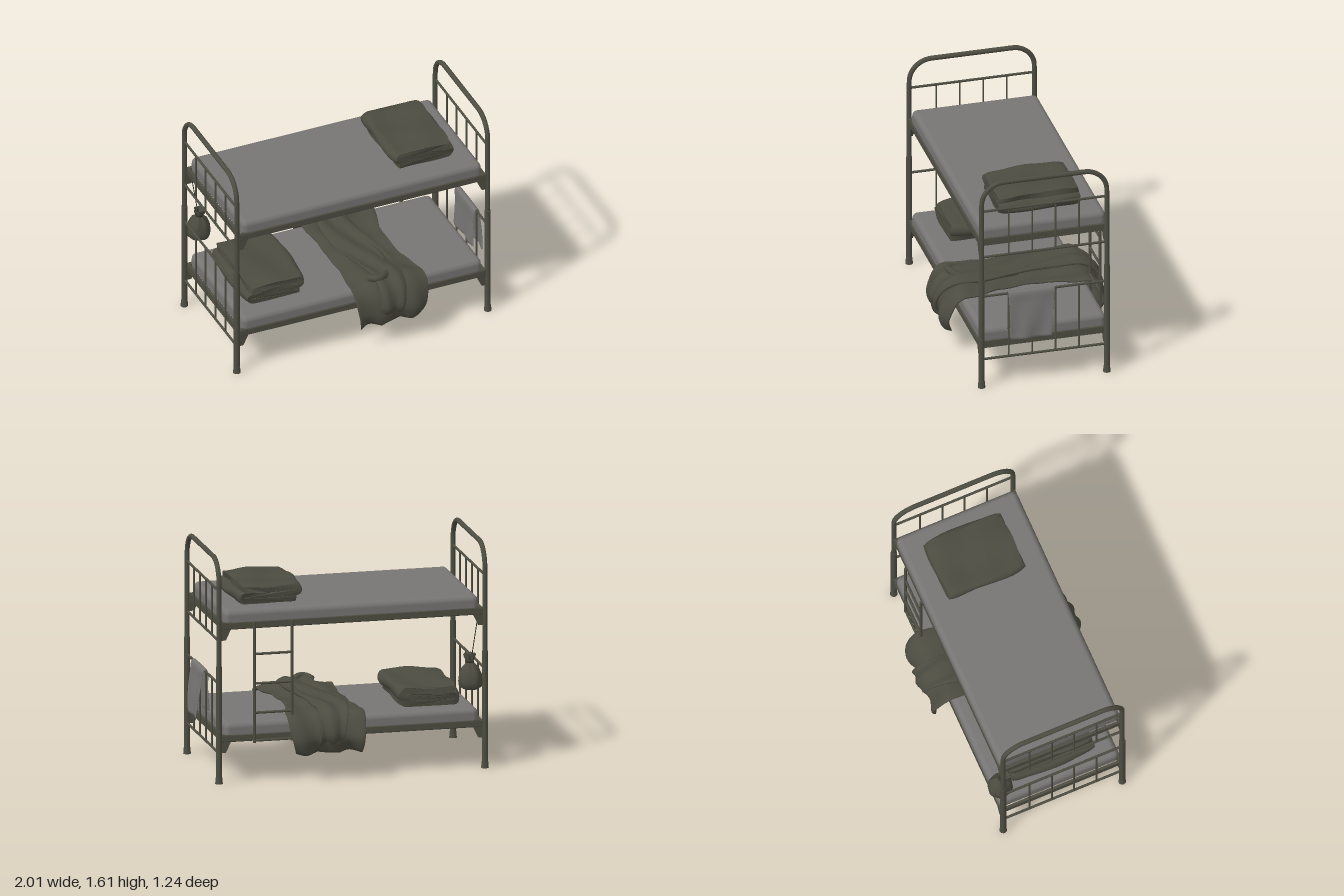
import * as THREE from 'three';
import { RoundedBoxGeometry } from 'three/addons/geometries/RoundedBoxGeometry.js';
import { ParametricGeometry } from 'three/addons/geometries/ParametricGeometry.js';
import { toCreasedNormals } from 'three/addons/utils/BufferGeometryUtils.js';

const V = (x, y, z) => new THREE.Vector3(x, y, z);
const ZC = 0.005, ZP = 0.453; // bed centre and post offset in z
const XL = -0.975, XR = 0.94; // the two end frames

function material(name, color, side = THREE.FrontSide) {
  const m = new THREE.MeshStandardMaterial({ color, side });
  m.name = name;
  return m;
}

function add(parent, name, geometry, mat, x = 0, y = 0, z = 0) {
  const mesh = new THREE.Mesh(geometry, mat);
  mesh.name = name;
  mesh.position.set(x, y, z);
  parent.add(mesh);
  return mesh;
}

// Straight round bar between two points
function bar(parent, name, a, b, r, mat, sides = 10) {
  const d = b.clone().sub(a);
  const mesh = add(parent, name, new THREE.CylinderGeometry(r, r, d.length(), sides), mat);
  mesh.position.copy(a).add(b).multiplyScalar(0.5);
  mesh.quaternion.setFromUnitVectors(V(0, 1, 0), d.normalize());
  return mesh;
}

// Thick cloth strip swept along a path; span(v) gives [centre, half width] along the axis
function cloth(points, axis, span, thick, wrinkle, slices = 60) {
  const path = new THREE.CatmullRomCurve3(points, false, 'centripetal');
  return new ParametricGeometry((u, v, target) => {
    const a = u * Math.PI * 2, c = Math.cos(a), s = Math.sin(a);
    const p = path.getPointAt(v), n = path.getTangentAt(v).cross(axis).normalize();
    const [mid, half] = span(v);
    const across = Math.sign(c) * Math.sqrt(Math.abs(c));
    const cap = Math.min(1, Math.sqrt(Math.max(0, Math.min(v, 1 - v)) * 40));
    const off = thick * Math.sign(s) * Math.sqrt(Math.abs(s)) * cap + wrinkle(across, v);
    target.copy(p).addScaledVector(axis, mid + half * across).addScaledVector(n, off);
  }, 56, slices);
}

// Blanket folded into layers: a thick serpentine profile extruded across the bed
function foldedBlanket(width, height, depth, layers) {
  const pitch = height / layers, t = pitch * 0.47, r = pitch / 2, L = width / 2 - pitch;
  const line = [];
  for (let i = 0; i < layers; i++) {
    const dir = i % 2 ? -1 : 1, y = pitch * (i + 0.5);
    for (let k = 0; k <= 14; k++) line.push([dir * L * (k / 7 - 1), y]);
    if (i < layers - 1) for (let k = 1; k < 8; k++) {
      const a = (k / 8) * Math.PI;
      line.push([dir * (L + r * Math.sin(a)), y + r * (1 - Math.cos(a))]);
    }
  }
  const side = sign => line.map((p, i) => {
    const a = line[Math.max(0, i - 1)], b = line[Math.min(line.length - 1, i + 1)];
    const dx = b[0] - a[0], dy = b[1] - a[1], l = Math.hypot(dx, dy);
    return new THREE.Vector2(p[0] - sign * t * dy / l, p[1] + sign * t * dx / l);
  });
  const shape = new THREE.Shape([...side(-1), ...side(1).reverse()]);
  const geo = new THREE.ExtrudeGeometry(shape, { depth, steps: 18, bevelEnabled: false });
  geo.translate(0, 0, -depth / 2);
  const pos = geo.attributes.position;
  for (let i = 0; i < pos.count; i++) {
    const x = pos.getX(i), y = pos.getY(i), z = pos.getZ(i), h = y / height;
    const edge = Math.pow(Math.abs(2 * z / depth), 8);
    pos.setY(i, y + h * (0.007 * Math.sin(x * 17 + z * 5) + 0.004 * Math.sin(z * 21 - x * 6) - 0.012 * edge));
    pos.setX(i, x + 0.007 * Math.sin(z * 13 + y * 40) - 0.02 * edge * Math.sign(x) * Math.abs(2 * x / width));
    pos.setZ(i, z + 0.006 * Math.sin(x * 15 + y * 60) * (2 * z / depth));
  }
  return toCreasedNormals(geo, 0.9);
}

export function createModel() {
  const metal = material('olive painted metal', 0x4d4d42);
  const grey = material('grey mattress', 0x777573);
  const olive = material('olive blanket', 0x4b4b40, THREE.DoubleSide);
  const towelMat = material('grey towel', 0x777573, THREE.DoubleSide);
  const cord = material('dark cord', 0x25251f);
  const model = new THREE.Group();
  model.name = 'bunkBed';

  // End frames: bent hoop, thicker lower legs, feet and guard bars
  for (const x of [XL, XR]) {
    const end = new THREE.Group();
    end.name = x < 0 ? 'rightEndFrame' : 'leftEndFrame';
    end.position.z = ZC;
    model.add(end);
    const top = 1.597, r = 0.16, k = r * 0.45;
    const hoop = new THREE.CurvePath();
    hoop.add(new THREE.LineCurve3(V(x, 0.03, ZP), V(x, top - r, ZP)));
    hoop.add(new THREE.CubicBezierCurve3(V(x, top - r, ZP), V(x, top - k, ZP), V(x, top, ZP - k), V(x, top, ZP - r)));
    hoop.add(new THREE.LineCurve3(V(x, top, ZP - r), V(x, top, r - ZP)));
    hoop.add(new THREE.CubicBezierCurve3(V(x, top, r - ZP), V(x, top, k - ZP), V(x, top - k, -ZP), V(x, top - r, -ZP)));
    hoop.add(new THREE.LineCurve3(V(x, top - r, -ZP), V(x, 0.03, -ZP)));
    add(end, 'hoop', new THREE.TubeGeometry(hoop, 140, 0.0175, 12), metal);
    for (const z of [-ZP, ZP]) {
      bar(end, 'lowerLeg', V(x, 0.02, z), V(x, 0.84, z), 0.0215, metal, 14);
      add(end, 'foot', new THREE.CylinderGeometry(0.023, 0.027, 0.045, 14), metal, x, 0.0225, z);
    }
    for (const [y0, y1] of [[0.22, 0.715], [1.025, 1.385]]) {
      for (const y of [y0, y1]) bar(end, 'crossBar', V(x, y, -ZP), V(x, y, ZP), 0.009, metal);
      for (const z of [-0.253, -0.083, 0.087, 0.257]) bar(end, 'guardBar', V(x, y0, z), V(x, y1, z), 0.007, metal);
    }
  }

  // Two bunks: rails, corner brackets and mattress
  for (const [name, y] of [['lowerBunk', 0.295], ['upperBunk', 1.103]]) {
    const bunk = new THREE.Group();
    bunk.name = name;
    bunk.position.set(-0.0175, y, ZC);
    model.add(bunk);
    for (const s of [-1, 1]) {
      add(bunk, 'sideRail', new RoundedBoxGeometry(1.89, 0.052, 0.024, 2, 0.008), metal, 0, 0.026, s * 0.452);
      add(bunk, 'endRail', new THREE.BoxGeometry(0.02, 0.05, 0.9), metal, s * 0.93, 0.026, 0);
      for (const t of [-1, 1]) {
        const plate = new THREE.Shape([[0.945, 0.052], [0.87, 0.052], [0.875, 0], [0.91, -0.075], [0.945, -0.075]]
          .map(([px, py]) => new THREE.Vector2(s * px, py)));
        const geo = new THREE.ExtrudeGeometry(plate, { depth: 0.024, bevelEnabled: false });
        add(bunk, 'cornerBracket', geo, metal, 0, 0, t * 0.45 - 0.012);
      }
    }
    const mattress = new RoundedBoxGeometry(1.83, 0.128, 0.912, 5, 0.04);
    add(bunk, 'mattress', mattress, grey, 0.003, 0.074, -0.003);
  }

  // Ladder hung on the back
  const ladder = new THREE.Group();
  ladder.name = 'ladder';
  model.add(ladder);
  for (const x of [0.42, 0.69]) bar(ladder, 'ladderRail', V(x, 0.285, -0.468), V(x, 1.15, -0.468), 0.011, metal);
  for (const y of [0.3, 0.5, 0.71, 0.922]) bar(ladder, 'rung', V(0.42, y, -0.468), V(0.69, y, -0.468), 0.009, metal);

  // Folded blankets on both bunks
  const upper = add(model, 'upperFoldedBlanket', foldedBlanket(0.49, 0.13, 0.58, 3), olive, 0.537, 1.24, -0.012);
  upper.rotation.y = 0.01;
  const lower = add(model, 'lowerFoldedBlanket', foldedBlanket(0.48, 0.145, 0.62, 3), olive, -0.61, 0.43, 0);
  lower.scale.x = -1;

  // Blanket thrown across the lower bunk, with a crumpled fold on top
  const xAxis = V(1, 0, 0);
  const drape = [[0.54, 0.17], [0.57, 0.27], [0.535, 0.39], [0.46, 0.452], [0.3, 0.455], [0, 0.455],
    [-0.3, 0.455], [-0.46, 0.455], [-0.53, 0.4], [-0.575, 0.3], [-0.54, 0.2]].map(([z, y]) => V(0, y, z));
  const hang = v => Math.pow(Math.abs(2 * v - 1), 4);
  add(model, 'thrownBlanket', cloth(drape, xAxis,
    v => [0.165 + 0.015 * Math.sin(v * 9), 0.235 + 0.045 * Math.sin(Math.PI * Math.min(1, 2.6 * Math.min(v, 1 - v)))],
    0.013, (a, v) => (0.008 + 0.016 * hang(v)) * Math.sin(a * 7 + v * 6) + 0.004 * Math.sin(v * 40 + a * 3), 70), olive);
  const fold = [[0.555, 0.25], [0.595, 0.32], [0.555, 0.43], [0.46, 0.49], [0.25, 0.487], [0, 0.483],
    [-0.25, 0.487], [-0.46, 0.49], [-0.56, 0.43], [-0.6, 0.33], [-0.57, 0.26]].map(([z, y]) => V(0, y, z));
  add(model, 'blanketFold', cloth(fold, xAxis,
    v => [0.145 + 0.04 * Math.sin(v * 7), 0.08 + 0.05 * Math.sin(Math.PI * v)],
    0.014, (a, v) => 0.009 * Math.sin(a * 5 + v * 12), 70), olive);
  const knot = [[0.05, 0.49, 0.42], [0.09, 0.505, 0.47], [0.14, 0.505, 0.46], [0.19, 0.485, 0.4], [0.24, 0.475, 0.2], [0.22, 0.47, 0]];
  add(model, 'blanketCrumple', new THREE.TubeGeometry(
    new THREE.CatmullRomCurve3(knot.map(p => V(...p))), 30, 0.026, 10), olive);

  // Towel over the lower end bar
  const towelPath = [[0.995, 0.37], [0.985, 0.5], [0.966, 0.64], [0.955, 0.715], [0.94, 0.729],
    [0.925, 0.715], [0.92, 0.6], [0.912, 0.42]].map(([x, y]) => V(x, y, 0));
  add(model, 'towel', cloth(towelPath, V(0, 0, 1),
    v => [0.1 + 0.012 * Math.max(0, 1 - 2 * v), 0.168 - 0.022 * Math.max(0, 1 - 2 * v)],
    0.005, (a, v) => 0.008 * Math.abs(1 - 2 * v) * Math.sin(a * 5 + v * 5)), towelMat);

  // Drawstring bag hanging from the upper bunk
  const bag = new THREE.Group();
  bag.name = 'drawstringBag';
  bag.position.set(-0.876, 0.57, -0.428);
  model.add(bag);
  const profile = [[0, 0], [0.055, 0.002], [0.078, 0.018], [0.083, 0.055], [0.077, 0.105], [0.055, 0.15],
    [0.03, 0.178], [0.022, 0.19], [0.03, 0.205], [0.042, 0.24], [0.036, 0.247], [0.015, 0.205], [0, 0.2]]
    .map(p => new THREE.Vector2(...p));
  const sack = new THREE.LatheGeometry(profile, 32);
  const pos = sack.attributes.position;
  for (let i = 0; i < pos.count; i++) {
    const x = pos.getX(i), y = pos.getY(i), z = pos.getZ(i), a = Math.atan2(z, x);
    const f = 1 + (y > 0.13 ? 0.13 : 0.035) * Math.sin(a * 6 + y * 8);
    const lean = y > 0.1 ? (y - 0.1) * 0.18 : 0;
    pos.setXYZ(i, x * f, y, z * f * 1.08 + lean);
  }
  sack.computeVertexNormals();
  add(bag, 'sack', sack, olive);
  const tie = add(bag, 'tie', new THREE.TorusGeometry(0.024, 0.005, 6, 20), cord, 0, 0.19, 0.016);
  tie.rotation.x = Math.PI / 2;
  bar(model, 'cord', V(-0.885, 0.77, -0.412), V(-0.92, 1.06, -0.445), 0.003, cord, 6);
  return model;
}
